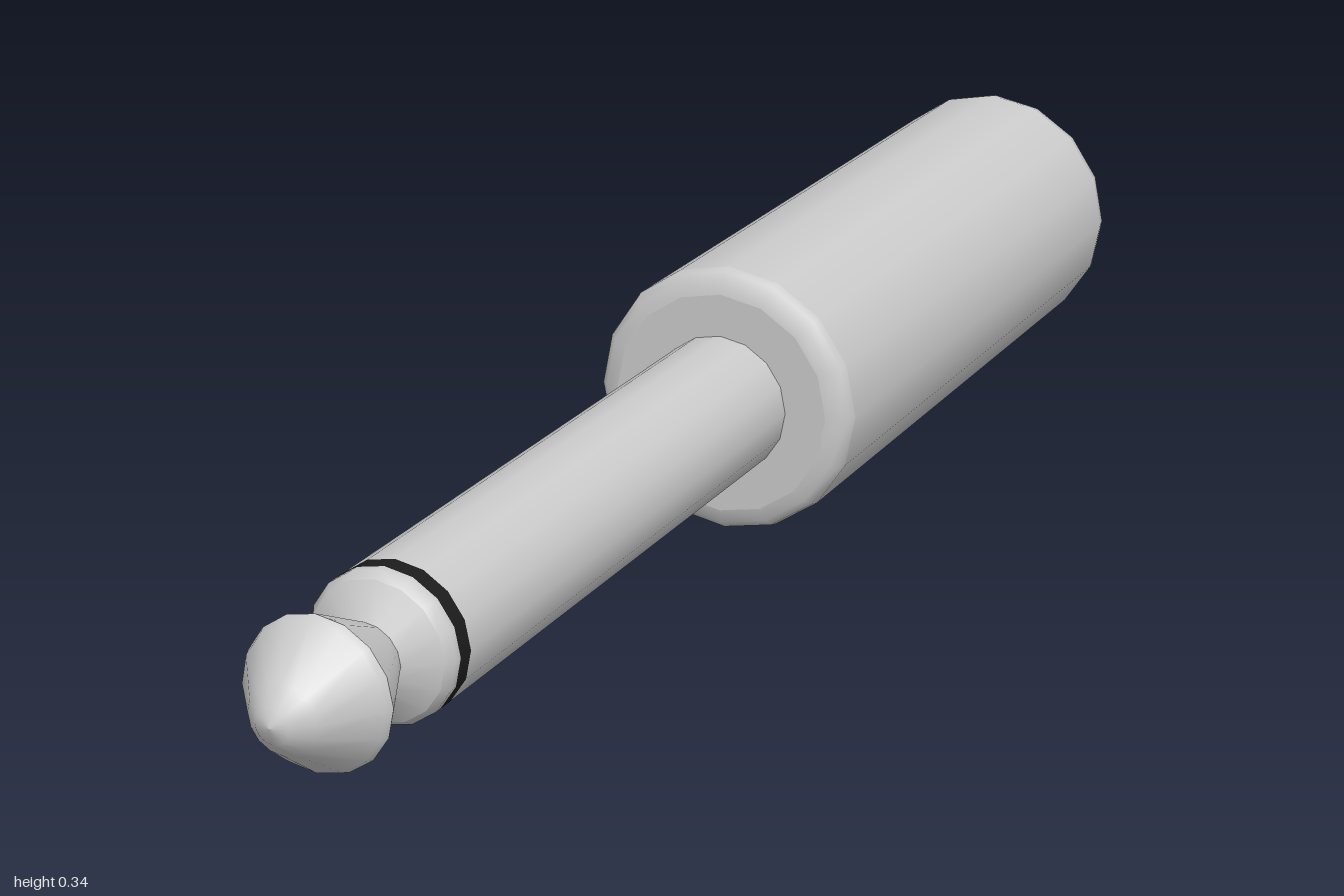
import * as THREE from 'three';
import { mergeGeometries } from 'three/addons/utils/BufferGeometryUtils.js';

const SIDES = 16;
const AXIS_Y = 0.171;

// Turned part along z: each section is a smooth run of [radius, z] from back to front,
// with a sharp edge between sections.
function turned(name, sections, material) {
  const geometry = mergeGeometries(sections.map((points) =>
    new THREE.LatheGeometry(points.map(([r, z]) => new THREE.Vector2(r, z)), SIDES)));
  geometry.rotateX(Math.PI / 2);
  const mesh = new THREE.Mesh(geometry, material);
  mesh.name = name;
  return mesh;
}

export function createModel() {
  const grey = new THREE.MeshStandardMaterial({ color: 0xcccccc });
  const black = new THREE.MeshStandardMaterial({ color: 0x1c1c1c });
  const model = new THREE.Group();
  model.name = 'audioPlug';

  // Handle with softened rims at both ends
  const handle = turned('handle', [
    [[0, -1], [0.138, -1]],
    [[0.138, -1], [0.155, -0.998], [0.166, -0.99], [0.169, -0.975]],
    [[0.169, -0.975], [0.169, -0.08]],
    [[0.169, -0.08], [0.166, -0.068], [0.157, -0.059], [0.14, -0.055]],
    [[0.14, -0.055], [0, -0.055]],
  ], grey);

  // Long contact sleeve
  const sleeve = turned('sleeve', [
    [[0.087, -0.06], [0.087, 0.745]],
  ], grey);

  // Dark insulating ring
  const ring = turned('insulatorRing', [
    [[0.087, 0.745], [0.087, 0.767]],
  ], black);

  // Tip contact: collar, narrow neck and pointed head
  const tip = turned('tip', [
    [[0.087, 0.767], [0.087, 0.777], [0.08, 0.788]],
    [[0.08, 0.788], [0.042, 0.812]],
    [[0.042, 0.812], [0.083, 0.897], [0.087, 0.906]],
    [[0.087, 0.906], [0.083, 0.916], [0.04, 0.975], [0.02, 0.994], [0, 1]],
  ], grey);

  model.add(handle, sleeve, ring, tip);
  for (const part of model.children) part.position.y = AXIS_Y;
  return model;
}
